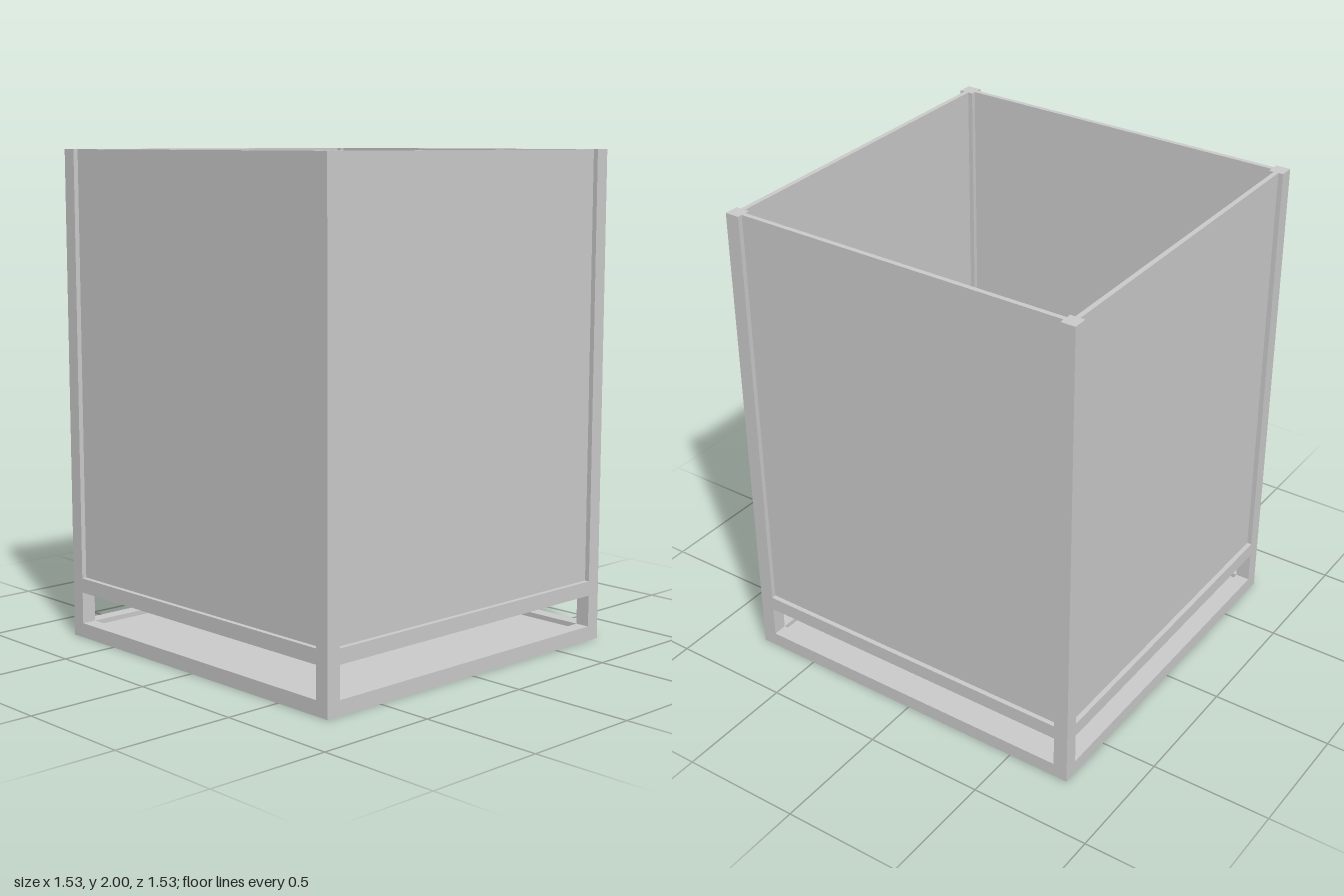
import * as THREE from 'three';

const HALF = 0.765;            // half of the outer width
const BAR = 0.06;              // square section of posts and rails
const HEIGHT = 2;
const SHEET = 0.02;            // panel thickness
const MID = HALF - BAR / 2;    // centre line of the frame
const SPAN = 2 * (HALF - BAR); // clear width between posts
const PANEL_BOTTOM = 0.25;

export function createModel() {
  const model = new THREE.Group();
  model.name = 'openTopBox';
  const material = new THREE.MeshStandardMaterial({ color: 0xcccccc, flatShading: true });

  const addBox = (parent, name, size, position) => {
    const mesh = new THREE.Mesh(new THREE.BoxGeometry(...size), material);
    mesh.name = name;
    mesh.position.set(...position);
    parent.add(mesh);
  };

  // Each side carries one corner post, two rails and a recessed panel
  ['front', 'left', 'back', 'right'].forEach((side, i) => {
    const group = new THREE.Group();
    group.name = side + 'Side';
    group.rotation.y = i * Math.PI / 2;
    addBox(group, 'cornerPost', [BAR, HEIGHT, BAR], [MID, HEIGHT / 2, MID]);
    addBox(group, 'bottomRail', [SPAN, BAR, BAR], [0, BAR / 2, MID]);
    addBox(group, 'upperRail', [SPAN, BAR, BAR], [0, PANEL_BOTTOM - BAR / 2, MID]);
    addBox(group, 'sidePanel', [SPAN, HEIGHT - PANEL_BOTTOM, SHEET],
      [0, (HEIGHT + PANEL_BOTTOM) / 2, MID]);
    model.add(group);
  });

  // Base sheet set into the bottom rails
  addBox(model, 'basePanel', [SPAN, SHEET, SPAN], [0, BAR / 2, 0]);

  return model;
}
